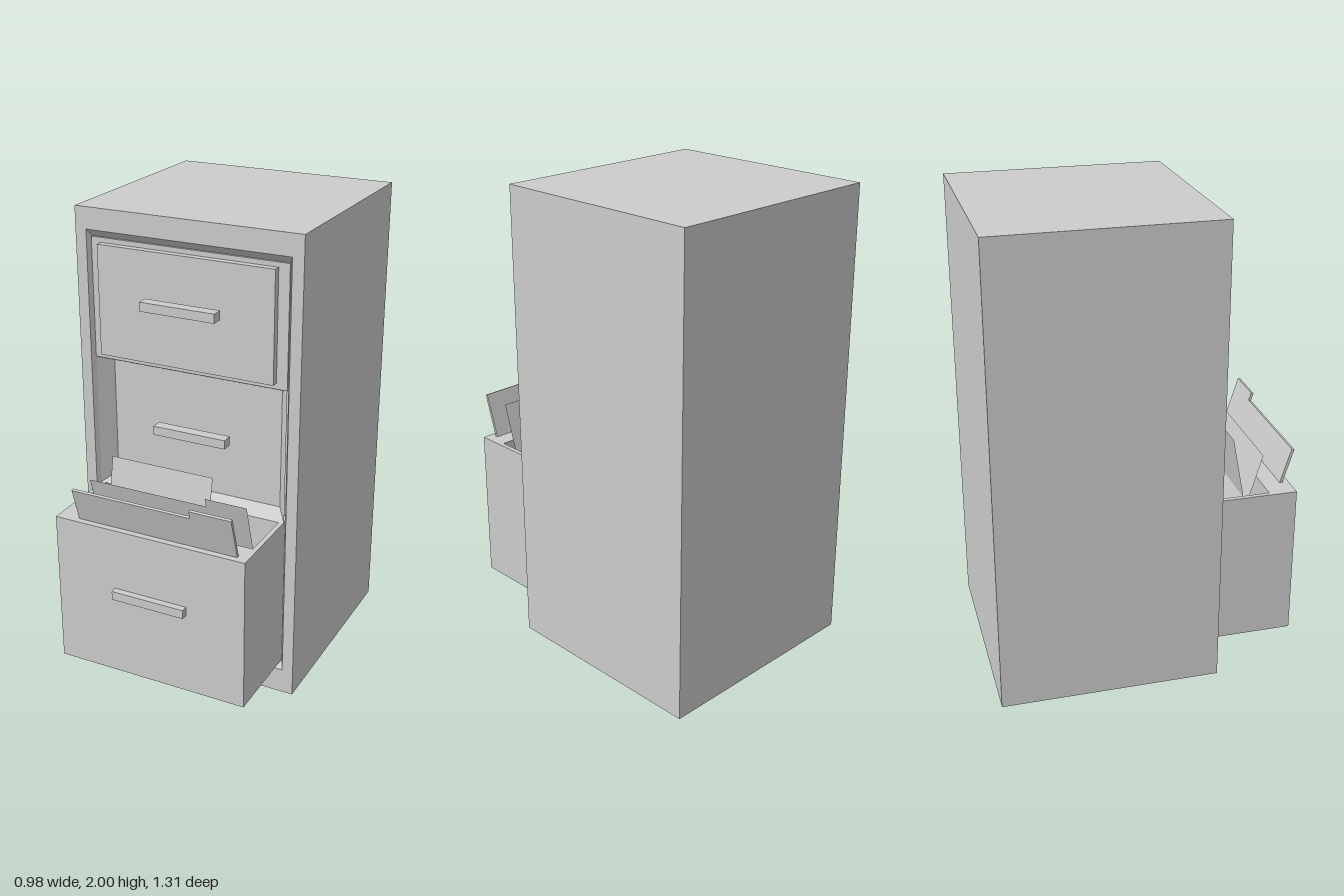
import * as THREE from 'three';

const grey = new THREE.MeshStandardMaterial({ color: 0xcccccc, side: THREE.DoubleSide });
grey.name = 'cabinetGrey';

function add(parent, name, geometry) {
  const mesh = new THREE.Mesh(geometry, grey);
  mesh.name = name;
  parent.add(mesh);
  return mesh;
}

// Box given by its limits on each axis
function block(parent, name, x0, x1, y0, y1, z0, z1) {
  const mesh = add(parent, name, new THREE.BoxGeometry(x1 - x0, y1 - y0, z1 - z0));
  mesh.position.set((x0 + x1) / 2, (y0 + y1) / 2, (z0 + z1) / 2);
  return mesh;
}

// Rectangle corners, counter-clockwise
const corners = ([hw, y0, y1]) => [[-hw, y0], [hw, y0], [hw, y1], [-hw, y1]];

// Four sloping walls from a front rectangle to a smaller one behind it
function slopedWalls(parent, name, front, zFront, back, zBack) {
  const f = corners(front), b = corners(back), pos = [];
  for (let i = 0; i < 4; i++) {
    const j = (i + 1) % 4;
    const A = [...f[i], zFront], B = [...f[j], zFront];
    const C = [...b[j], zBack], D = [...b[i], zBack];
    pos.push(...A, ...B, ...C, ...A, ...C, ...D);
  }
  const g = new THREE.BufferGeometry();
  g.setAttribute('position', new THREE.Float32BufferAttribute(pos, 3));
  g.computeVertexNormals();
  return add(parent, name, g);
}

// Rectangular ring extruded along z
function ring(parent, name, outer, inner, z0, z1) {
  const vec = (r) => corners(r).map(([x, y]) => new THREE.Vector2(x, y));
  const shape = new THREE.Shape(vec(outer));
  shape.holes.push(new THREE.Path(vec(inner).reverse()));
  const g = new THREE.ExtrudeGeometry(shape, { depth: z1 - z0, bevelEnabled: false });
  g.translate(0, 0, z0);
  return add(parent, name, g);
}

// Folder outline with a raised tab on one side
function folderShape(bottom, top, tabTop) {
  return new THREE.Shape([
    [-0.33, bottom], [0.38, bottom], [0.38, tabTop],
    [0.2, tabTop], [0.2, top], [-0.33, top],
  ].map(([x, y]) => new THREE.Vector2(x, y)));
}

export function createModel() {
  const model = new THREE.Group();
  model.name = 'filingCabinet';

  // Cabinet carcass with a chamfered opening
  const opening = [0.442, 0.11, 1.91], seat = [0.428, 0.14, 1.88];
  block(model, 'cabinetBody', -0.49, 0.49, 0, 2, -0.655, 0.19);
  ring(model, 'frontFrame', [0.49, 0, 2], opening, 0.19, 0.28);
  slopedWalls(model, 'openingChamfer', opening, 0.28, seat, 0.255);

  // Top drawer, closed
  const topDrawer = new THREE.Group();
  topDrawer.name = 'topDrawer';
  model.add(topDrawer);
  block(topDrawer, 'drawerFace', -0.428, 0.428, 1.375, 1.88, 0.19, 0.265);
  block(topDrawer, 'raisedPanel', -0.385, 0.382, 1.4, 1.86, 0.26, 0.295);

  // Middle drawer, set back in a sloping recess
  slopedWalls(model, 'middleRecess', [0.428, 0.8, 1.375], 0.265, [0.38, 0.835, 1.345], 0.2);
  block(model, 'middleDrawerFace', -0.385, 0.385, 0.82, 1.36, 0.185, 0.2);

  // Bottom drawer, pulled open
  const lower = new THREE.Group();
  lower.name = 'bottomDrawer';
  model.add(lower);
  block(lower, 'drawerFront', -0.425, 0.425, 0.14, 0.802, 0.51, 0.625);
  block(lower, 'drawerFloor', -0.425, 0.425, 0.14, 0.5, 0.2, 0.51);
  block(lower, 'drawerBack', -0.405, 0.405, 0.5, 0.8, 0.2, 0.265);
  for (const s of [-1, 1]) {
    const a = 0.405 * s, b = 0.425 * s;
    block(lower, 'drawerSide', Math.min(a, b), Math.max(a, b), 0.5, 0.802, 0.2, 0.51);
  }

  // Handles
  for (const [y, z] of [[1.66, 0.35], [1.103, 0.261], [0.518, 0.63]]) {
    block(model, 'handle', -0.155, 0.17, y - 0.019, y + 0.019, z - 0.024, z + 0.024);
  }

  // Front folder, leaning forward
  const frontFolder = add(lower, 'frontFolder',
    new THREE.ExtrudeGeometry(folderShape(-0.02, 0.158, 0.194), { depth: 0.012, bevelEnabled: false }));
  frontFolder.position.set(0, 0.802, 0.585);
  frontFolder.rotation.x = 0.3;

  // Rear folder, a thin sheet leaning forward
  const rearFolder = add(lower, 'rearFolder', new THREE.ShapeGeometry(folderShape(0, 0.425, 0.465)));
  rearFolder.position.set(0, 0.53, 0.385);
  rearFolder.rotation.x = 0.29;

  // Loose paper leaning back
  const paper = add(lower, 'paperSheet', new THREE.PlaneGeometry(0.46, 0.28));
  paper.position.set(-0.06, 0.865, 0.416);
  paper.rotation.x = -0.19;

  return model;
}
